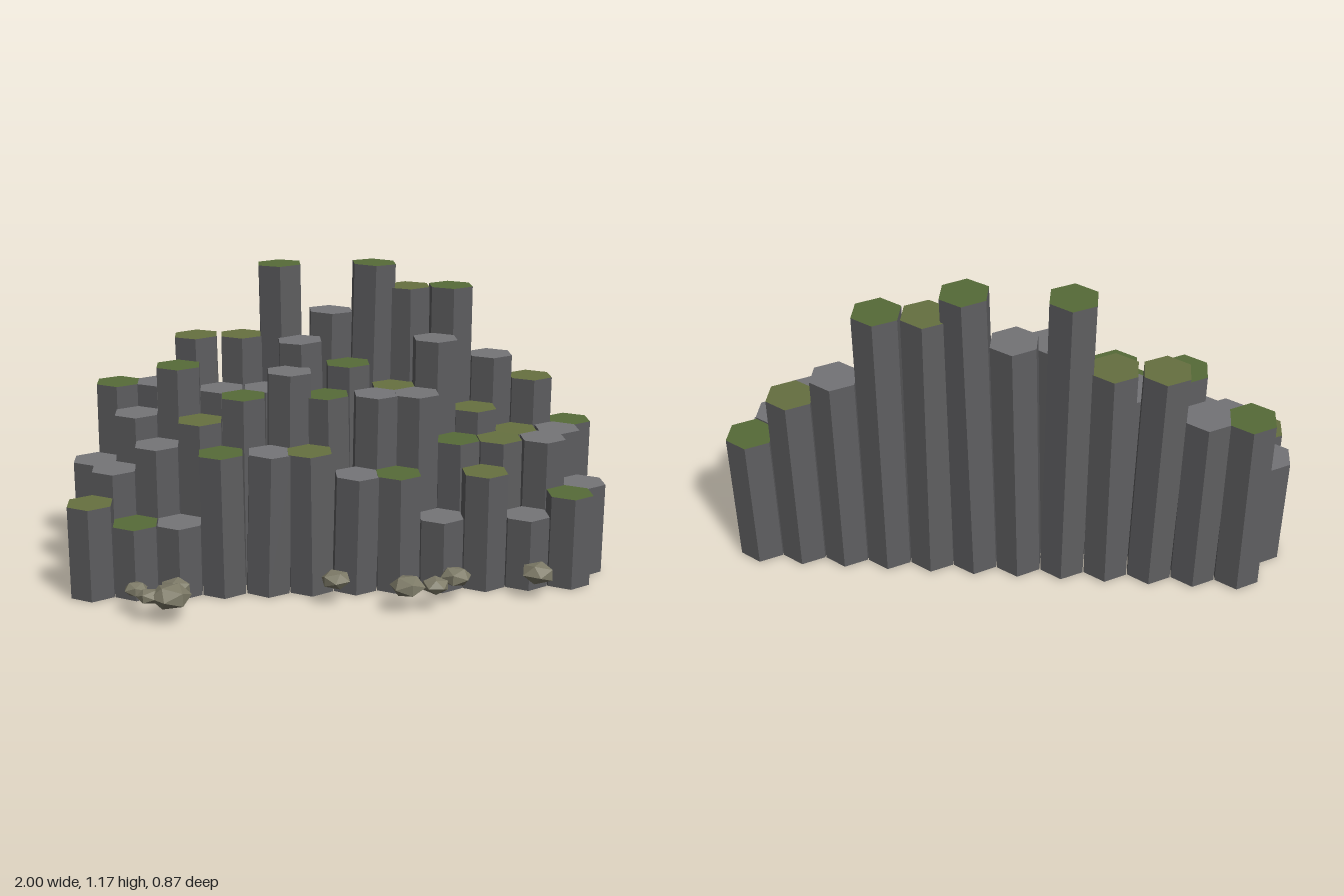
import * as THREE from 'three';

const paint = (color, side = THREE.FrontSide) =>
  new THREE.MeshStandardMaterial({ color, side, flatShading: true });
const RADIUS = 0.09;
const PITCH = 0.16;
const FORWARD_LEAN = 0.03;

// Rows from back to front. h: column heights, cap: s = stone, g = green moss, o = olive moss,
// lean: sideways drift of each top in hundredths.
const ROWS = [
  { x: -0.84, z: -0.347, cap: 'gsoogsgogsog',
    h: [0.71, 0.71, 0.89, 0.89, 1.16, 0.98, 1.16, 1.07, 1.07, 0.8, 0.71, 0.53],
    lean: [0.5, -0.5, -1.5, 0, -1.5, 2, 2.5, -0.5, 0, 0, 0, 0] },
  { x: -0.92, z: -0.208, cap: 'ssgsssgosoos',
    h: [0.44, 0.62, 0.8, 0.71, 0.71, 0.89, 0.8, 0.71, 0.89, 0.62, 0.53, 0.53],
    lean: [0, 0, 0, 0, 0.5, -2.5, -0.5, 1, 0.5, 0, 0, 0.5] },
  { x: -0.84, z: -0.07, cap: 'ssogsgssgoss',
    h: [0.44, 0.53, 0.62, 0.71, 0.8, 0.71, 0.71, 0.71, 0.53, 0.53, 0.53, 0.35],
    lean: [0, 0, 0, 0, 1, -1.5, 1, 0, -0.5, -0.5, 0, 0] },
  { x: -0.92, z: 0.07, cap: 'ogsgsosgsosg',
    h: [0.35, 0.27, 0.27, 0.53, 0.53, 0.53, 0.44, 0.44, 0.27, 0.44, 0.27, 0.35],
    lean: [0, 0, 0, -0.5, 1.5, -0.5, 1, 0, 0, 0, 0, 0] },
];

// Loose stones: x, z, radius
const STONES = [
  [-0.75, 0.28, 0.045], [-0.61, 0.28, 0.06], [-0.7, 0.355, 0.045], [-0.625, 0.36, 0.075],
  [-0.04, 0.235, 0.057], [0.21, 0.32, 0.066], [0.31, 0.32, 0.052], [0.395, 0.235, 0.06],
  [0.7, 0.22, 0.066],
];

export function createModel() {
  const model = new THREE.Group();
  const shaft = paint(0x5e5e60, THREE.DoubleSide);
  const caps = {
    s: paint(0x747477, THREE.DoubleSide),
    g: paint(0x566b38, THREE.DoubleSide),
    o: paint(0x667040, THREE.DoubleSide),
  };
  const rubble = paint(0x7e7b68);

  // Hexagonal columns, hollow from below, each leaning slightly about its foot
  ROWS.forEach((row, r) => {
    const group = new THREE.Group();
    group.name = `columnRow${r + 1}`;
    row.h.forEach((h, i) => {
      const column = new THREE.Group();
      column.name = 'hexColumn';
      const side = new THREE.Mesh(new THREE.CylinderGeometry(RADIUS, RADIUS, h, 6, 1, true), shaft);
      side.name = 'columnShaft';
      side.position.y = h / 2;
      const cap = new THREE.Mesh(new THREE.CircleGeometry(RADIUS, 6, Math.PI / 2), caps[row.cap[i]]);
      cap.name = 'columnCap';
      cap.rotation.x = -Math.PI / 2;
      cap.position.y = h;
      column.add(side, cap);
      column.position.set(row.x + i * PITCH, 0, row.z);
      column.rotation.set(FORWARD_LEAN, 0, -row.lean[i] / 100 / h);
      group.add(column);
    });
    model.add(group);
  });

  // Flattened stones in front of the columns
  const stones = new THREE.Group();
  stones.name = 'looseStones';
  STONES.forEach(([x, z, radius], i) => {
    const mesh = new THREE.Mesh(new THREE.IcosahedronGeometry(radius, 0), rubble);
    mesh.name = 'stone';
    mesh.position.set(x, 0.09, z);
    mesh.scale.y = 0.6;
    mesh.rotation.y = i * 1.3;
    stones.add(mesh);
  });
  model.add(stones);

  return model;
}
